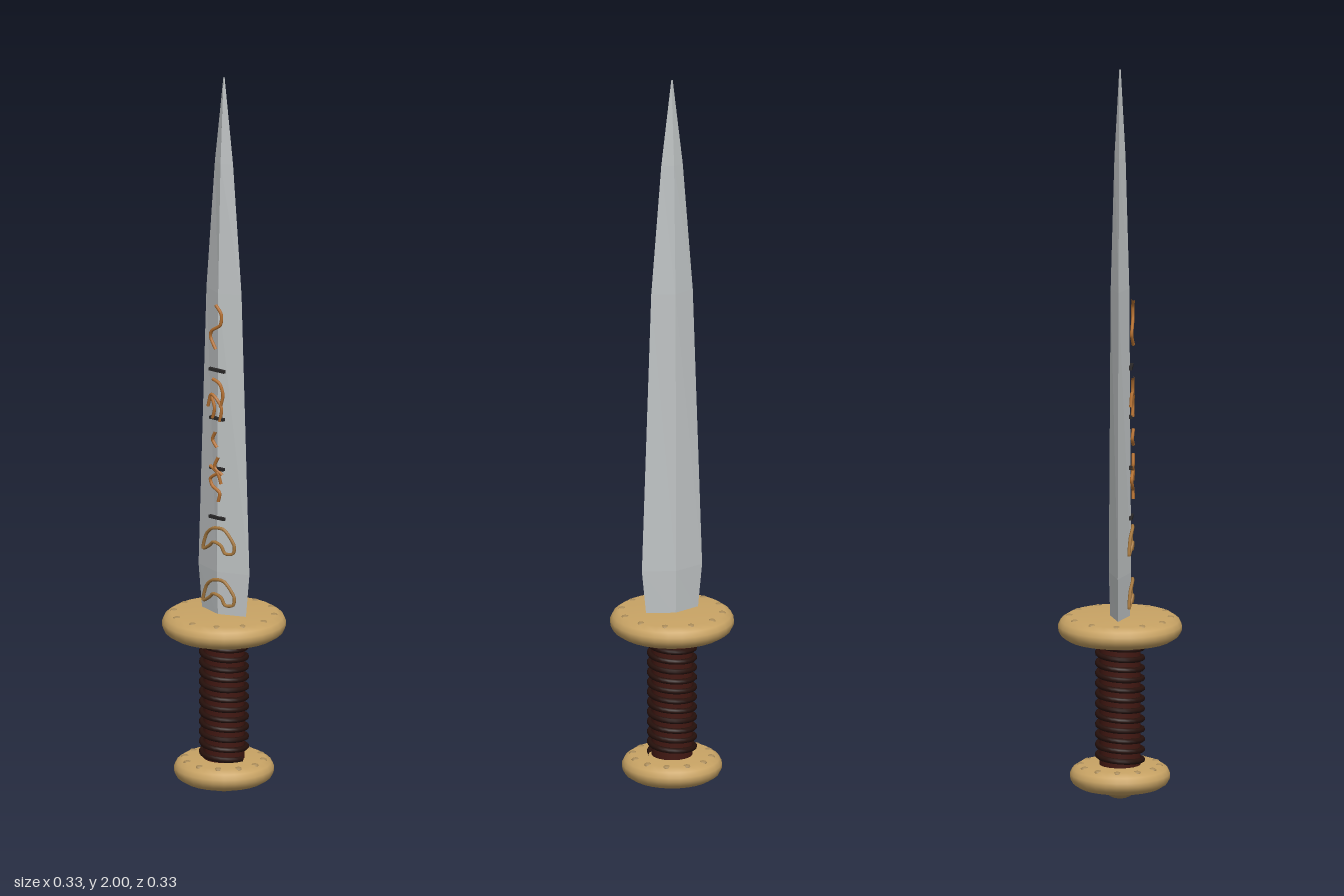
import * as THREE from 'three';

const mat = (name, color) => {
  const m = new THREE.MeshStandardMaterial({ color });
  m.name = name;
  return m;
};

export function createModel() {
  const root = new THREE.Group();
  const steel = mat('steel', 0xc0c4c5);
  const brass = mat('brass', 0xc9a465);
  const rivetBrass = mat('dull brass', 0xa88a58);
  const leather = mat('dark leather', 0x421812);
  const cord = mat('leather cord', 0x26100b);
  const copper = mat('rune copper', 0xb87333);
  const bronze = mat('rune bronze', 0xa87a40);
  const iron = mat('dark iron', 0x2a2828);

  const add = (name, geo, material, parent = root) => {
    const mesh = new THREE.Mesh(geo, material);
    mesh.name = name;
    parent.add(mesh);
    return mesh;
  };
  const vec = (x, y, z) => new THREE.Vector3(x, y, z);

  // Blade: diamond cross-sections [y, half width, half depth], hard facets
  const sections = [[0.49, 0.074, 0.026], [0.62, 0.087, 0.03], [1.4, 0.06, 0.025], [1.76, 0.031, 0.015], [2, 0.002, 0.002]];
  const rings = sections.map(([y, w, d]) => [vec(w, y, 0), vec(0, y, d), vec(-w, y, 0), vec(0, y, -d)]);
  const tris = [];
  for (let i = 0; i < rings.length - 1; i++) {
    for (let k = 0; k < 4; k++) {
      const n = (k + 1) % 4;
      const [a, b, c, d] = [rings[i][k], rings[i][n], rings[i + 1][n], rings[i + 1][k]];
      tris.push(a, c, b, a, d, c);
    }
  }
  const bladeGeo = new THREE.BufferGeometry().setFromPoints(tris);
  bladeGeo.computeVertexNormals();
  add('blade', bladeGeo, steel);

  // Softly bevelled disc with a ring of domed rivets on its top
  const disc = (name, radius, y0, y1, rivetRing) => {
    const group = new THREE.Group();
    group.name = name;
    root.add(group);
    const h = y1 - y0;
    const profile = [[0, 0], [radius - 0.024, 0], [radius - 0.007, 0.18], [radius, 0.4],
      [radius, 0.6], [radius - 0.007, 0.82], [radius - 0.024, 1], [0, 1]]
      .map(([r, t]) => new THREE.Vector2(r, y0 + t * h));
    add(name + 'Disc', new THREE.LatheGeometry(profile, 28), brass, group);
    for (let i = 0; i < 12; i++) {
      const a = (i / 12) * Math.PI * 2;
      const rivet = add('rivet', new THREE.SphereGeometry(0.011, 12, 8), rivetBrass, group);
      rivet.position.set(Math.cos(a) * rivetRing, y1 - 0.004, Math.sin(a) * rivetRing);
      rivet.scale.y = 0.6;
    }
  };
  disc('guard', 0.166, 0.439, 0.501, 0.135);
  disc('pommel', 0.134, 0.033, 0.094, 0.105);

  // Domed cap under the pommel
  const cap = add('pommelCap', new THREE.SphereGeometry(0.042, 24, 12), rivetBrass);
  cap.scale.y = 0.7;
  cap.position.y = 0.0295;

  // Grip core with a spiral cord
  add('gripCore', new THREE.CylinderGeometry(0.055, 0.055, 0.36, 24), leather).position.y = 0.265;
  const turns = 12, helix = [];
  for (let i = 0; i <= turns * 16; i++) {
    const a = (i / 16) * Math.PI * 2;
    helix.push(vec(Math.cos(a) * 0.06, 0.1 + (0.335 * i) / (turns * 16), Math.sin(a) * 0.06));
  }
  add('gripCord', new THREE.TubeGeometry(new THREE.CatmullRomCurve3(helix), turns * 24, 0.0075, 8), cord);

  // Runes: thin bent wires lying just over the front of the blade
  const runes = new THREE.Group();
  runes.name = 'runes';
  root.add(runes);
  const wire = (pts, material = copper, dy = 0, closed = false) => {
    const path = pts.map(([x, y]) => vec(x, y + dy, 0.036 - 0.17 * Math.abs(x)));
    const curve = new THREE.CatmullRomCurve3(path, closed, 'catmullrom', 0.4);
    add('rune', new THREE.TubeGeometry(curve, pts.length * 6, 0.0045, 6, closed), material, runes);
  };
  wire([[0, 1.37], [0.017, 1.345], [0.014, 1.315], [-0.014, 1.295], [-0.02, 1.275], [0, 1.245]]);
  wire([[-0.012, 1.16], [0.012, 1.15], [0.022, 1.12], [0.014, 1.085]]);
  wire([[-0.03, 1.08], [-0.018, 1.115], [0.004, 1.105], [0.018, 1.08], [0.012, 1.045]]);
  wire([[-0.016, 1.11], [-0.004, 1.08], [-0.012, 1.05]]);
  wire([[0, 1.015], [-0.012, 0.99], [0.004, 0.97]]);
  wire([[0.008, 0.945], [-0.004, 0.915], [0.02, 0.895]]);
  wire([[-0.022, 0.915], [0.006, 0.9], [0.016, 0.87]]);
  wire([[0.008, 0.9], [-0.02, 0.88], [-0.012, 0.86], [0.012, 0.845], [0.008, 0.82]]);
  const crescent = [[-0.05, 0.677], [-0.036, 0.72], [-0.01, 0.742], [0.026, 0.742], [0.055, 0.705], [0.052, 0.68],
    [0.028, 0.677], [0.016, 0.697], [-0.008, 0.704], [-0.025, 0.69]];
  for (const dy of [0, -0.145]) wire(crescent, bronze, dy, true);

  // Short dark bars between the runes
  for (const [y, w] of [[1.185, 0.052], [1.05, 0.046], [0.91, 0.046], [0.772, 0.052]]) {
    add('runeBar', new THREE.BoxGeometry(w, 0.008, 0.009), iron, runes).position.set(0, y, 0.03);
  }
  return root;
}
